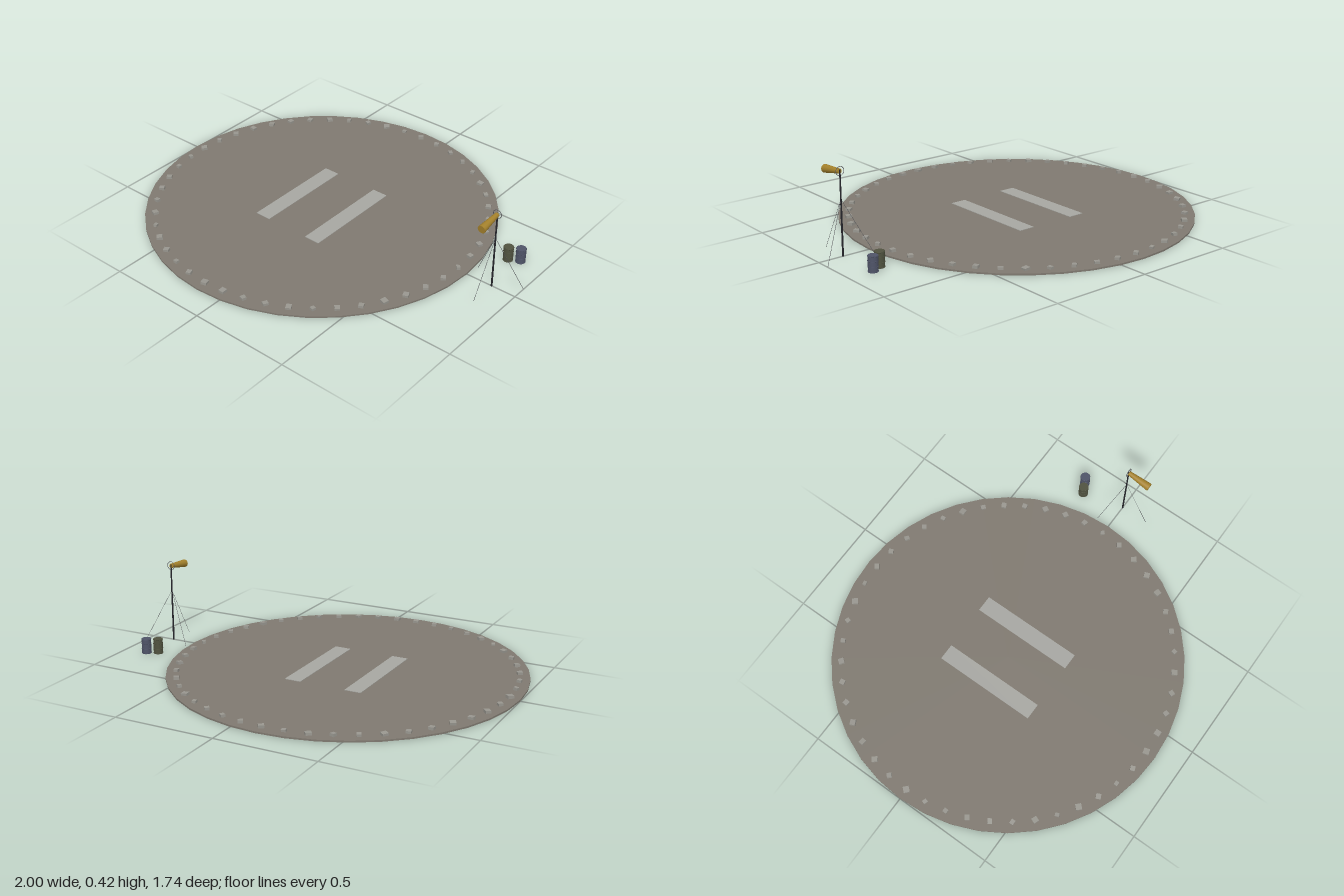
import * as THREE from 'three';

const mat = (name, color) => {
  const m = new THREE.MeshStandardMaterial({ color });
  m.name = name;
  return m;
};

export function createModel() {
  const model = new THREE.Group();
  model.name = 'landingPad';

  const concrete = mat('concrete', 0x7f7970);
  const paint = mat('pale paint', 0xa6a6a1);
  const stone = mat('stone', 0x98968f);
  const metal = mat('dark metal', 0x25252b);
  const wire = mat('wire', 0x55555a);
  const cloth = mat('golden cloth', 0xa5822c);
  const green = mat('olive drum', 0x50523f);
  const blue = mat('blue drum', 0x4f5468);

  const add = (parent, name, geometry, material, x = 0, y = 0, z = 0) => {
    const mesh = new THREE.Mesh(geometry, material);
    mesh.name = name;
    mesh.position.set(x, y, z);
    parent.add(mesh);
    return mesh;
  };

  // Thin cylinder between two points, radius r0 at a and r1 at b
  const rod = (parent, name, a, b, r0, r1, sides, material) => {
    const dir = b.clone().sub(a);
    const mesh = add(parent, name, new THREE.CylinderGeometry(r1, r0, dir.length(), sides), material);
    mesh.position.copy(a).add(b).multiplyScalar(0.5);
    mesh.quaternion.setFromUnitVectors(new THREE.Vector3(0, 1, 0), dir.normalize());
    return mesh;
  };

  // Round pad with its painted stripes
  const padX = -0.13, padTop = 0.008;
  add(model, 'pad', new THREE.CylinderGeometry(0.87, 0.87, padTop, 40), concrete, padX, padTop / 2, 0);
  for (const side of [-1, 1]) {
    add(model, 'padStripe', new THREE.BoxGeometry(0.083, 0.003, 0.525), paint, padX + side * 0.157, padTop + 0.001, 0);
  }

  // Ring of edge stones, each a little different in size and turn
  let seed = 7;
  const random = () => (seed = (seed * 16807) % 2147483647) / 2147483647;
  const stones = new THREE.Group();
  stones.name = 'edgeStones';
  model.add(stones);
  const count = 48;
  for (let i = 0; i < count; i++) {
    const a = (i / count) * Math.PI * 2;
    const w = 0.021 + random() * 0.009;
    const h = 0.012 + random() * 0.003;
    const block = add(stones, 'edgeStone', new THREE.BoxGeometry(w, h, w * (0.8 + random() * 0.25)), stone,
      padX + Math.cos(a) * 0.82, padTop + h / 2 - 0.001, Math.sin(a) * 0.82);
    block.rotation.set((random() - 0.5) * 0.15, random() * Math.PI, (random() - 0.5) * 0.15);
  }

  // Wind sock on a mast
  const windSock = new THREE.Group();
  windSock.name = 'windSock';
  windSock.position.x = 0.875;
  model.add(windSock);
  add(windSock, 'mast', new THREE.CylinderGeometry(0.0035, 0.0045, 0.4, 8), metal, 0, 0.2, 0);
  add(windSock, 'hoop', new THREE.TorusGeometry(0.021, 0.0015, 6, 20), wire, 0, 0.394, 0);
  rod(windSock, 'sock', new THREE.Vector3(0, 0.393, 0.002), new THREE.Vector3(0, 0.378, 0.122),
    0.011, 0.02, 12, cloth);

  // Three guy wires
  for (let i = 0; i < 3; i++) {
    const a = (i / 3) * Math.PI * 2;
    rod(windSock, 'guyWire', new THREE.Vector3(0, 0.265, 0),
      new THREE.Vector3(Math.sin(a) * 0.142, 0.001, Math.cos(a) * 0.142), 0.001, 0.001, 4, wire);
  }

  // Two drums with raised hoops
  const drum = (name, material, x, z) => {
    const group = new THREE.Group();
    group.name = name;
    group.position.set(x, 0, z);
    model.add(group);
    add(group, 'drumBody', new THREE.CylinderGeometry(0.0235, 0.0235, 0.076, 16), material, 0, 0.038, 0);
    for (const y of [0.003, 0.026, 0.051, 0.073]) {
      const hoop = add(group, 'drumHoop', new THREE.TorusGeometry(0.0235, 0.0016, 5, 16), material, 0, y, 0);
      hoop.rotation.x = Math.PI / 2;
    }
  };
  drum('oliveDrum', green, 0.823, -0.212);
  drum('blueDrum', blue, 0.875, -0.238);

  return model;
}
